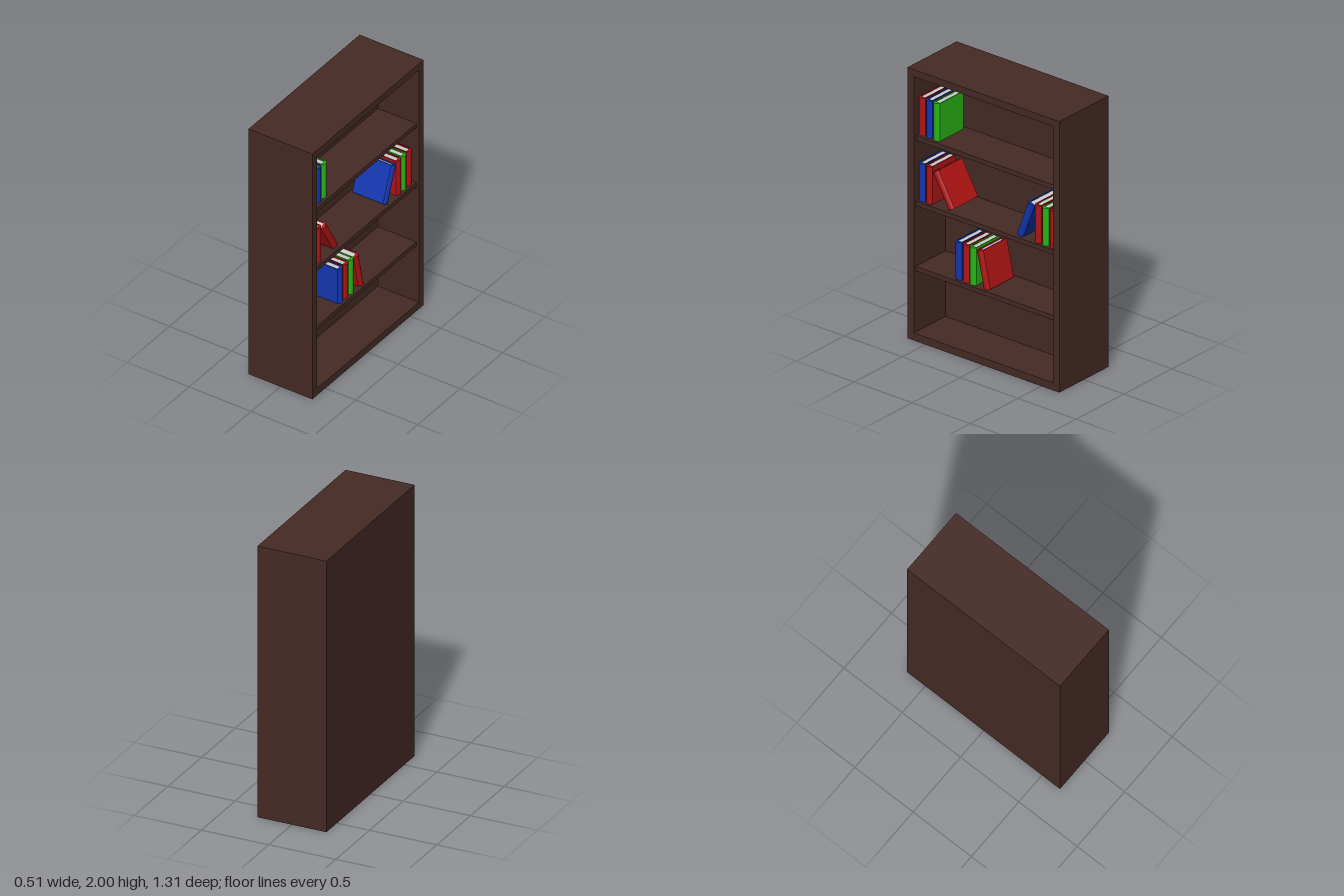
import * as THREE from 'three';

const W = 0.257, L = 0.655, H = 2;              // half depth (x), half length (z), height
const IN = { l: 0.6, bottom: 0.055, top: 1.948, back: -0.073 };
const BOOK = { h: 0.278, t: 0.055, front: 0.222, back: -0.04, board: 0.008 };

const material = (color, side = THREE.FrontSide) =>
  new THREE.MeshStandardMaterial({ color, side, roughness: 0.8 });
const wood = material(0x452a25, THREE.DoubleSide);
const paper = material(0xdddddd);
const covers = { red: material(0xb01414), green: material(0x28b414), blue: material(0x1236b0) };

function add(parent, name, geometry, mat, x = 0, y = 0, z = 0) {
  const mesh = new THREE.Mesh(geometry, mat);
  mesh.name = name;
  mesh.position.set(x, y, z);
  parent.add(mesh);
  return mesh;
}

// Box without some of its sides (0..5 = +x -x +y -y +z -z)
function openBox(w, h, d, missing) {
  const g = new THREE.BoxGeometry(w, h, d);
  const index = Array.from(g.index.array).filter((_, i) => !missing.includes(Math.floor(i / 6)));
  g.clearGroups();
  g.setIndex(index);
  return g;
}

function rectangle(path, l, bottom, top) {
  path.moveTo(-l, bottom);
  path.lineTo(l, bottom);
  path.lineTo(l, top);
  path.lineTo(-l, top);
  path.closePath();
  return path;
}

// Hollow case: outer shell, inset compartment and the frame joining them
function makeCase() {
  const group = new THREE.Group();
  group.name = 'case';
  add(group, 'outerShell', openBox(2 * W, H, 2 * L, [0, 3]), wood, 0, H / 2, 0);

  const depth = W - IN.back, height = IN.top - IN.bottom;
  add(group, 'compartment', openBox(depth, height, 2 * IN.l, [0]), wood,
    (W + IN.back) / 2, (IN.top + IN.bottom) / 2, 0);

  const shape = rectangle(new THREE.Shape(), L, 0, H);
  shape.holes.push(rectangle(new THREE.Path(), IN.l, IN.bottom, IN.top));
  add(group, 'openingFrame', new THREE.ShapeGeometry(shape).rotateY(Math.PI / 2), wood, W, 0, 0);
  return group;
}

// Cover wraps the pages: two boards and a gently rounded spine, in plan
function coverGeometry() {
  const { h, t, front, back, board } = BOOK;
  const s = new THREE.Shape();
  const edge = front - 0.016, r = t / 2, i = r - board;
  s.moveTo(back, -r);
  s.lineTo(edge, -r);
  s.quadraticCurveTo(front + 0.016, 0, edge, r);
  s.lineTo(back, r);
  s.lineTo(back, i);
  s.lineTo(edge - board, i);
  s.lineTo(edge - board, -i);
  s.lineTo(back, -i);
  s.closePath();
  const g = new THREE.ExtrudeGeometry(s, { depth: h, bevelEnabled: false, curveSegments: 8 });
  return g.translate(0, 0, -h / 2).rotateX(-Math.PI / 2);
}

function makeBook(color, y, z, lean, coverGeo) {
  const { h, t, front, back, board } = BOOK;
  const book = new THREE.Group();
  book.name = color + 'Book';
  add(book, 'cover', coverGeo, covers[color]);
  const x0 = back + 0.008, x1 = front - 0.02;
  add(book, 'pages', new THREE.BoxGeometry(x1 - x0, h - 0.014, t - 2 * board + 0.002), paper,
    (x0 + x1) / 2, 0, 0);
  book.position.set(0, y, z);
  book.rotation.x = THREE.MathUtils.degToRad(lean);
  return book;
}

export function createModel() {
  const model = new THREE.Group();
  model.name = 'bookcase';
  model.add(makeCase());

  // Shelves, set slightly behind the frame
  const shelfFront = 0.237, shelfDepth = shelfFront - IN.back;
  for (const top of [0.54, 1.022, 1.505]) {
    add(model, 'shelf', new THREE.BoxGeometry(shelfDepth, 0.034, 2 * IN.l), wood,
      IN.back + shelfDepth / 2, top - 0.017, 0);
  }

  // Books: color, centre height, position along the shelf, lean in degrees
  const coverGeo = coverGeometry();
  const top = 1.505 + BOOK.h / 2 + 0.003, mid = 1.022 + BOOK.h / 2, low = 0.54 + BOOK.h / 2;
  const books = [
    ['red', top, 0.571, 0], ['blue', top, 0.508, 0], ['green', top, 0.444, 0],
    ['blue', mid, 0.571, 0], ['red', mid, 0.508, 0], ['red', 1.156, 0.384, 29.7],
    ['blue', 1.161, -0.326, -20.9],
    ['red', mid, -0.431, 0], ['green', mid, -0.495, 0], ['red', mid, -0.558, 0],
    ['blue', low, 0.254, 0], ['red', low, 0.191, 0], ['green', low, 0.129, 0],
    ['red', 0.676, 0.04, 12.5],
  ];
  for (const [color, y, z, lean] of books) model.add(makeBook(color, y, z, lean, coverGeo));
  return model;
}
